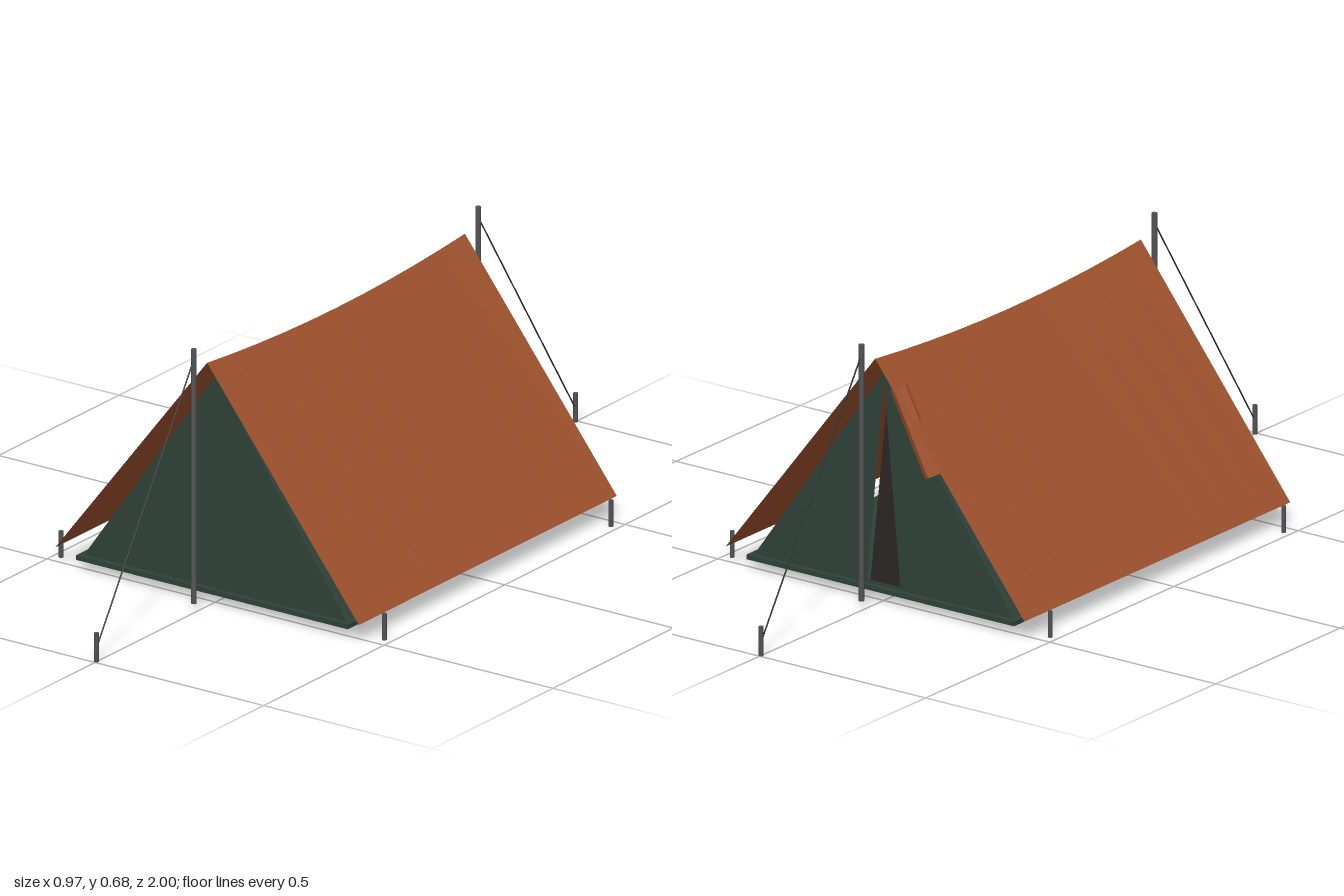
import * as THREE from 'three';

const mat = (color, extra = {}) => new THREE.MeshStandardMaterial({ color, ...extra });

export function createModel() {
  const group = new THREE.Group();
  const canvas = mat(0xa0522d, { side: THREE.DoubleSide, flatShading: true });
  const inner = mat(0x2f4238, { side: THREE.DoubleSide });
  const innerOutside = mat(0x2f4238);
  const mesh = mat(0x2a2625, { side: THREE.DoubleSide });
  const metal = mat(0x555558);
  const cord = mat(0x333333);

  const add = (name, geometry, material) => {
    const m = new THREE.Mesh(geometry, material);
    m.name = name;
    group.add(m);
    return m;
  };

  // Round bar between two points
  const bar = (name, a, b, radius, sides, material) => {
    const from = new THREE.Vector3(...a), to = new THREE.Vector3(...b);
    const dir = to.clone().sub(from);
    const m = add(name, new THREE.CylinderGeometry(radius, radius, dir.length(), sides), material);
    m.position.copy(from).add(to).multiplyScalar(0.5);
    m.quaternion.setFromUnitVectors(new THREE.Vector3(0, 1, 0), dir.normalize());
    return m;
  };

  const triangle = (halfWidth, bottom, top, Type = THREE.Shape) => {
    const s = new Type();
    s.moveTo(-halfWidth, bottom);
    s.lineTo(halfWidth, bottom);
    s.lineTo(0, top);
    s.closePath();
    return s;
  };

  // Groundsheet
  add('groundsheet', new THREE.BoxGeometry(0.806, 0.012, 1.03), inner).position.y = 0.03;

  // Outer roof: a sheet per side, hanging from a sagging ridge
  for (const side of [1, -1]) {
    const roof = new THREE.PlaneGeometry(1, 1, 1, 10);
    const p = roof.attributes.position;
    for (let i = 0; i < p.count; i++) {
      const down = p.getX(i) + 0.5;
      const along = p.getY(i) * 2;
      const ridge = 0.604 + 0.025 * along * along;
      p.setXYZ(i, side * 0.45 * down, ridge + (0.052 - ridge) * down, -0.535 * along * side);
    }
    roof.computeVertexNormals();
    add(side > 0 ? 'leftRoof' : 'rightRoof', roof, canvas);
  }

  // Inner tent side walls
  const halfBase = 0.39, floorY = 0.035, apexY = 0.585;
  const slope = Math.hypot(halfBase, apexY - floorY);
  for (const side of [1, -1]) {
    const wall = add(side > 0 ? 'leftInnerWall' : 'rightInnerWall', new THREE.PlaneGeometry(1, slope), innerOutside);
    wall.position.set(side * halfBase / 2, (floorY + apexY) / 2, 0);
    wall.rotation.order = 'YXZ';
    wall.rotation.set(-Math.atan2(halfBase, apexY - floorY), side * Math.PI / 2, 0);
  }

  // Inner tent ends: closed at the front, a narrow door opening at the back
  add('frontWall', new THREE.ShapeGeometry(triangle(halfBase, floorY, apexY)), inner).position.z = 0.5;
  const backShape = triangle(halfBase, floorY, apexY);
  backShape.holes.push(triangle(0.05, 0.045, 0.565, THREE.Path));
  add('backWall', new THREE.ShapeGeometry(backShape), inner).position.z = -0.5;
  add('doorScreen', new THREE.ShapeGeometry(triangle(0.055, floorY, 0.56)), mesh).position.z = -0.48;

  // Door flap rolled up and tied aside
  bar('rolledDoorFlap', [-0.053, 0.56, -0.51], [-0.157, 0.355, -0.51], 0.022, 8, canvas);

  // Poles, guy lines and end stakes
  for (const end of [1, -1]) {
    const label = end > 0 ? 'front' : 'back';
    bar(label + 'Pole', [0, 0.025, end * 0.59], [0, 0.682, end * 0.59], 0.007, 8, metal);
    bar(label + 'GuyLine', [0, 0.655, end * 0.59], [0, 0.035, end * 0.994], 0.002, 5, cord);
    bar(label + 'Stake', [0, 0, end * 0.994], [0, 0.075, end * 0.994], 0.006, 6, metal);
    // Side stakes
    for (const side of [1, -1]) {
      const x = side * 0.479, z = end * 0.47;
      bar(label + (side > 0 ? 'Left' : 'Right') + 'Stake', [x, 0, z], [x, 0.068, z], 0.006, 6, metal);
    }
  }

  return group;
}
